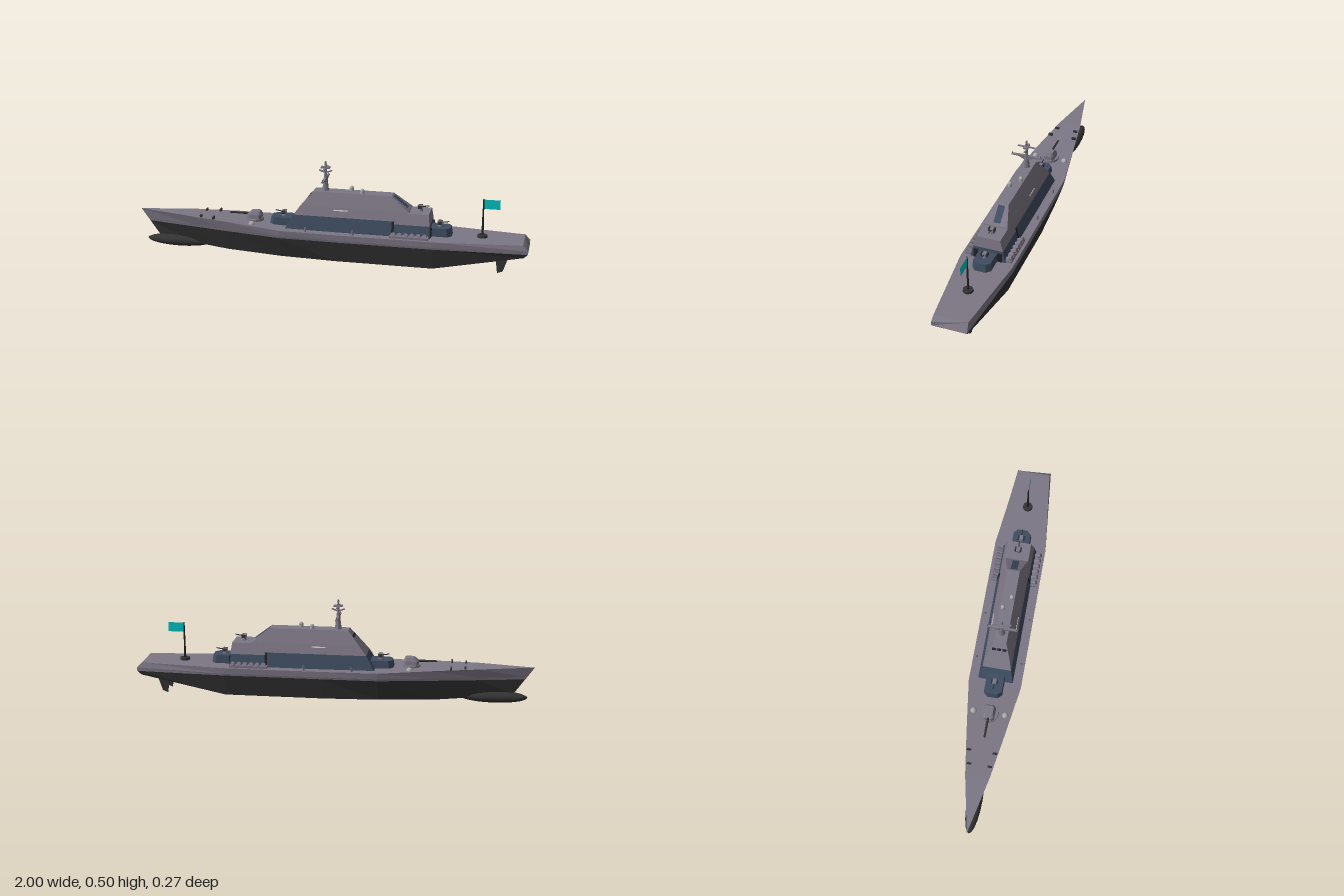
import * as THREE from 'three';

const mat = (color, extra = {}) => new THREE.MeshStandardMaterial({ color, flatShading: true, ...extra });
const GREY = mat(0x7d7785), BLUE = mat(0x3f4d61), DARK = mat(0x333334), BLACK = mat(0x222226);
const WHITE = mat(0xd8d8d8), DOME = new THREE.MeshStandardMaterial({ color: 0xa9a9a9 });
const FLAG = mat(0x00c4c4, { side: THREE.DoubleSide });

export function createModel() {
  const ship = new THREE.Group();
  ship.name = 'patrolShip';

  const add = (name, geo, material, x = 0, y = 0, z = 0, parent = ship) => {
    const m = new THREE.Mesh(geo, material);
    m.name = name;
    m.position.set(x, y, z);
    parent.add(m);
    return m;
  };
  const box = (name, w, h, d, material, x, y, z, parent) =>
    add(name, new THREE.BoxGeometry(w, h, d), material, x, y, z, parent);
  const cyl = (name, r0, r1, h, n, material, x, y, z, parent) =>
    add(name, new THREE.CylinderGeometry(r0, r1, h, n), material, x, y, z, parent);

  // Skin over closed cross-sections, with capped ends
  function loft(sections) {
    const v = [], n = sections[0].length;
    for (let i = 0; i < sections.length - 1; i++)
      for (let j = 0; j < n; j++) {
        const k = (j + 1) % n, A = sections[i], B = sections[i + 1];
        v.push(...A[j], ...A[k], ...B[k], ...A[j], ...B[k], ...B[j]);
      }
    const S = sections[0], E = sections[sections.length - 1];
    for (let j = 1; j < n - 1; j++) v.push(...S[0], ...S[j + 1], ...S[j], ...E[0], ...E[j], ...E[j + 1]);
    const g = new THREE.BufferGeometry();
    g.setAttribute('position', new THREE.Float32BufferAttribute(v, 3));
    g.computeVertexNormals();
    return g;
  }
  // Horizontal ring from x0 to x1 with half width w and corner cuts c
  const ring = (y, x0, x1, w, c = 0) => c
    ? [[x0 + c, y, w], [x1 - c, y, w], [x1, y, w - c], [x1, y, c - w],
       [x1 - c, y, -w], [x0 + c, y, -w], [x0, y, c - w], [x0, y, w - c]]
    : [[x0, y, w], [x1, y, w], [x1, y, -w], [x0, y, -w]];

  // Hull stations: deck edge, knuckle, paint line, chine, each [x, y, half width]
  const stations = [
    [[-1, 0.19, 0], [-0.965, 0.14, 0], [-0.955, 0.127, 0], [-0.9, 0.05, 0]],
    [[-0.72, 0.187, 0.06], [-0.72, 0.14, 0.047], [-0.72, 0.127, 0.044], [-0.72, 0.03, 0.016]],
    [[-0.5, 0.18, 0.094], [-0.5, 0.14, 0.086], [-0.5, 0.127, 0.083], [-0.52, 0.02, 0.05]],
    [[-0.23, 0.168, 0.133], [-0.23, 0.138, 0.13], [-0.23, 0.127, 0.127], [-0.23, 0.02, 0.092]],
    [[0.05, 0.166, 0.133], [0.05, 0.137, 0.132], [0.05, 0.127, 0.13], [0.05, 0.02, 0.108]],
    [[0.54, 0.166, 0.133], [0.54, 0.137, 0.132], [0.54, 0.127, 0.13], [0.54, 0.02, 0.108]],
    [[0.975, 0.165, 0.084], [1, 0.138, 0.088], [1, 0.12, 0.087], [0.98, 0.1, 0.081]],
  ];
  const port = ([x, y, w]) => [x, y, -w];
  add('upperHull', loft(stations.map(([d, k, p]) => [port(d), d, k, p, port(p), port(k)])), GREY);
  add('lowerHull', loft(stations.map(([, , p, c]) => [port(p), p, c, port(c)])), DARK);
  add('bowBulb', new THREE.SphereGeometry(1, 20, 12), new THREE.MeshStandardMaterial({ color: 0x333334 }),
    -0.8, 0.032, 0).scale.set(0.17, 0.03, 0.038);

  // Superstructure
  add('lowerHouse', loft([ring(0.16, -0.215, 0.522, 0.09), ring(0.238, -0.17, 0.515, 0.072)]), BLUE);
  add('upperHouse', loft([ring(0.238, -0.17, 0.42, 0.072), ring(0.285, -0.132, 0.41, 0.058),
    ring(0.355, -0.075, 0.32, 0.032)]), GREY);
  add('aftHouse', loft([ring(0.225, 0.34, 0.517, 0.076), ring(0.28, 0.35, 0.51, 0.06)]), GREY);
  const hatch = box('aftHatch', 0.09, 0.006, 0.034, BLUE, 0.362, 0.321, 0);
  hatch.rotation.z = -Math.atan2(0.07, 0.09);
  add('forwardPlatform', loft([ring(0.16, -0.305, -0.16, 0.048, 0.02), ring(0.207, -0.295, -0.16, 0.044, 0.02)]), BLUE);
  add('aftPlatform', loft([ring(0.16, 0.48, 0.622, 0.048, 0.02), ring(0.207, 0.48, 0.615, 0.044, 0.02)]), BLUE);

  // Bridge windows on the front slope
  for (const z of [-0.026, 0, 0.026]) {
    const w = box('bridgeWindow', 0.012, 0.004, 0.02, BLACK, -0.1, 0.325, z);
    w.rotation.z = Math.atan2(0.07, 0.057);
  }

  for (const s of [-1, 1]) {
    // Side fittings
    const strip = box('sideStrip', 0.07, 0.006, 0.004, WHITE, 0.07, 0.272, s * 0.062);
    strip.rotation.x = -s * 0.3;
    const seam = box('sideVent', 0.012, 0.07, 0.004, BLACK, 0.335, 0.204, s * 0.0805);
    seam.rotation.x = -s * 0.23;
    box('aftDoor', 0.006, 0.046, 0.022, BLACK, 0.522, 0.19, s * 0.06);
    for (const x of [-0.1, 0.14]) cyl('bollard', 0.005, 0.005, 0.025, 8, GREY, x, 0.177, s * 0.115);
    [[-0.66, 0.052], [-0.59, 0.065]].forEach(([x, z]) =>
      box('bowFairlead', 0.008, 0.014, 0.022, DARK, x, 0.189, s * z));
    add('deckDome', new THREE.SphereGeometry(0.016, 12, 6, 0, Math.PI * 2, 0, Math.PI / 2), DOME,
      -0.385, 0.174, s * 0.08);

    // Launcher row along the deck edge
    const row = new THREE.Group();
    row.name = 'launcherRow';
    ship.add(row);
    box('launcherBase', 0.19, 0.012, 0.04, GREY, 0.42, 0.171, s * 0.098, row);
    for (let i = 0; i < 6; i++) {
      const t = cyl('launcherTube', 0.011, 0.011, 0.034, 8, GREY, 0.343 + i * 0.031, 0.18, s * 0.1, row);
      t.rotation.x = s * 1.15;
    }

    // Rudder
    const r = new THREE.Shape([[0.84, 0.1], [0.91, 0.1], [0.88, 0.01], [0.853, 0]]
      .map(p => new THREE.Vector2(...p)));
    add('rudder', new THREE.ExtrudeGeometry(r, { depth: 0.004, bevelEnabled: false }), DARK, 0, 0, s * 0.047 - 0.002);
  }

  // Main gun
  cyl('mainGunBase', 0.045, 0.047, 0.014, 16, GREY, -0.39, 0.178, 0);
  add('mainGunTurret', loft([ring(0.183, -0.427, -0.352, 0.03, 0.01), ring(0.205, -0.425, -0.352, 0.028, 0.01),
    ring(0.222, -0.405, -0.36, 0.02, 0.006)]), GREY);
  cyl('mainGunBarrel', 0.005, 0.006, 0.1, 8, DARK, -0.47, 0.204, 0).rotation.z = Math.PI / 2;

  // Small guns; dir is the direction the barrel points along x
  for (const [x, y, dir] of [[-0.235, 0.205, -1], [0.56, 0.205, 1], [0.46, 0.28, 1]]) {
    const gun = new THREE.Group();
    gun.name = 'smallGun';
    gun.position.set(x, y, 0);
    ship.add(gun);
    cyl('gunPedestal', 0.009, 0.014, 0.016, 8, GREY, 0, 0.008, 0, gun);
    box('gunBody', 0.026, 0.014, 0.018, GREY, 0, 0.021, 0, gun);
    for (const z of [-0.014, 0.014]) box('gunShield', 0.02, 0.016, 0.006, DARK, 0, 0.021, z, gun);
    cyl('gunBarrel', 0.0025, 0.003, 0.035, 6, DARK, dir * 0.027, 0.025, 0, gun).rotation.z = -dir * 1.4;
  }

  // Roof domes
  for (const [x, z] of [[0.11, -0.018], [0.17, 0.018]]) {
    cyl('domeFoot', 0.011, 0.011, 0.016, 12, DOME, x, 0.361, z);
    add('radarDome', new THREE.SphereGeometry(0.011, 14, 10), DOME, x, 0.369, z);
  }

  // Mast with two yards
  const mast = new THREE.Group();
  mast.name = 'mast';
  mast.position.x = -0.02;
  ship.add(mast);
  cyl('mastTower', 0.007, 0.018, 0.09, 8, GREY, 0, 0.395, 0, mast);
  cyl('mastPole', 0.004, 0.007, 0.066, 8, GREY, 0, 0.472, 0, mast);
  const yard = new THREE.Shape([[-0.078, 0.418], [-0.078, 0.413], [-0.04, 0.412], [-0.012, 0.398], [0.012, 0.398],
    [0.04, 0.412], [0.078, 0.413], [0.078, 0.418], [0.012, 0.422], [-0.012, 0.422]].map(p => new THREE.Vector2(...p)));
  const yardGeo = new THREE.ExtrudeGeometry(yard, { depth: 0.012, bevelEnabled: false });
  yardGeo.translate(0, 0, -0.006).rotateY(Math.PI / 2);
  add('lowerYard', yardGeo, GREY, 0, 0, 0, mast);
  for (const s of [-1, 1]) {
    cyl('yardAntenna', 0.0015, 0.0015, 0.018, 6, DARK, 0, 0.421, s * 0.074, mast);
    const arm = box('sensorArm', 0.035, 0.006, 0.008, GREY, s * 0.016, 0.452, 0, mast);
    arm.rotation.z = s * 0.35;
  }
  box('upperYard', 0.01, 0.004, 0.092, GREY, 0, 0.471, 0, mast);
  box('searchRadar', 0.045, 0.008, 0.022, GREY, 0, 0.473, 0, mast);
  cyl('mastCap', 0.004, 0.006, 0.012, 8, GREY, 0, 0.499, 0, mast);

  // Flag and pole
  cyl('flagBase', 0.024, 0.026, 0.012, 16, DARK, 0.77, 0.171, 0);
  cyl('flagPole', 0.003, 0.006, 0.195, 8, BLACK, 0.77, 0.264, 0);
  add('flag', new THREE.PlaneGeometry(0.08, 0.048), FLAG, 0.812, 0.335, 0);

  return ship;
}
